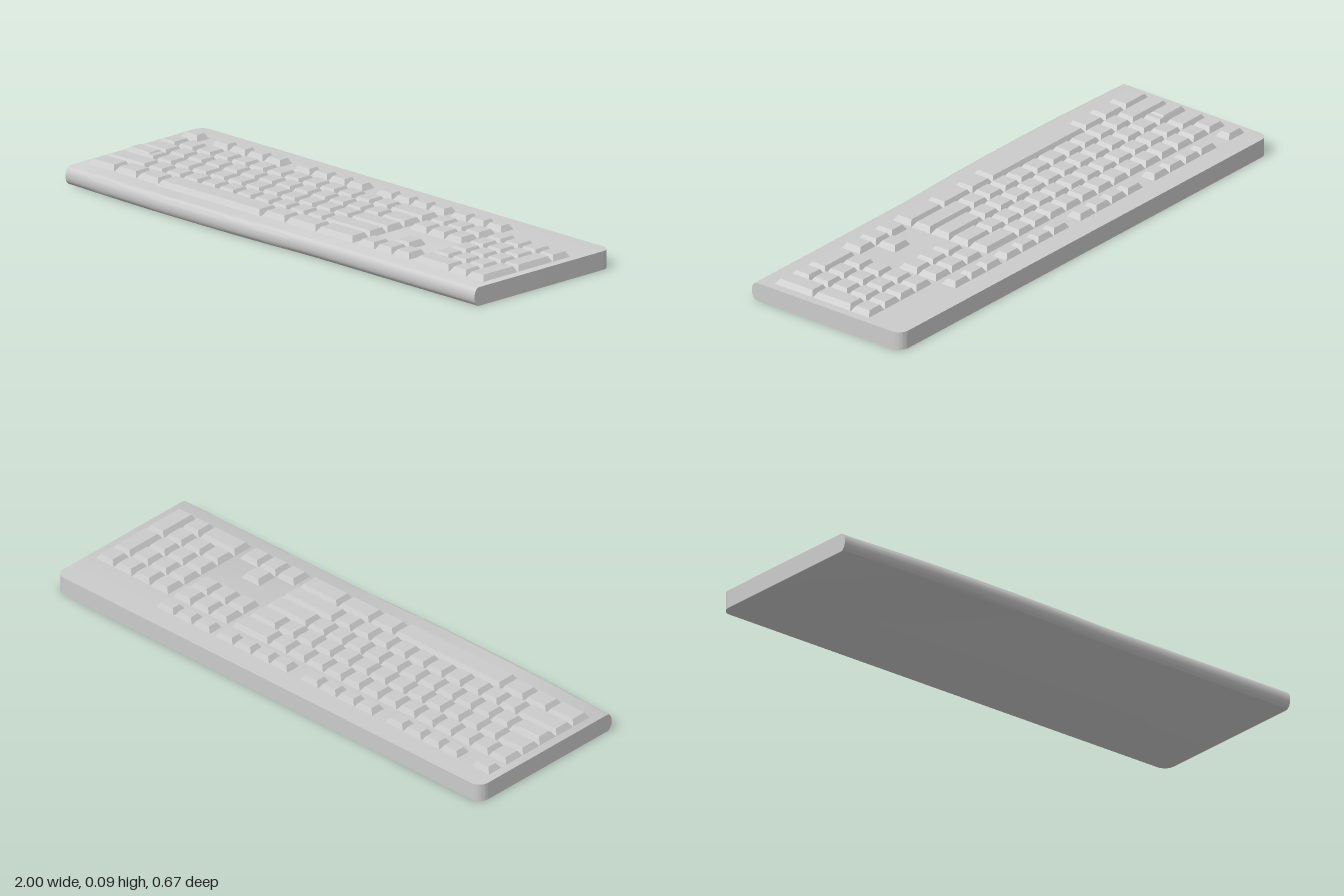
import * as THREE from 'three';
import { toCreasedNormals } from 'three/addons/utils/BufferGeometryUtils.js';

const H = 0.067;          // case height
const KEY_H = 0.02;       // key height
const BACK = -0.337;
const X0 = -0.968, X1 = 0.328;   // main block limits
const ROWS = [-0.171, -0.087, -0.003, 0.081, 0.165]; // back edge of each row
const PITCH = 0.084;
const U = (X1 - X0) / 15;

const material = new THREE.MeshStandardMaterial({ color: 0xcccccc });

// Front edge of the case: straight, with a gentle bow under the main block
function frontZ(x) {
  const t = Math.min(1, Math.abs(x + 0.4) / 0.62);
  return 0.301 + 0.014 * (1 - t * t * t) ** 2;
}

function makeCase() {
  const r = 0.04;
  const s = new THREE.Shape();
  s.moveTo(-1, -frontZ(-1));
  for (let i = 1; i <= 40; i++) {
    const x = -1 + i / 20;
    s.lineTo(x, -frontZ(x));
  }
  s.lineTo(1, -BACK - r);
  s.absarc(1 - r, -BACK - r, r, 0, Math.PI / 2, false);
  s.lineTo(-1 + r, -BACK);
  s.absarc(-1 + r, -BACK - r, r, Math.PI / 2, Math.PI, false);
  s.closePath();
  const g = new THREE.ExtrudeGeometry(s, { depth: 1, steps: 12, bevelEnabled: false, curveSegments: 8 });
  g.rotateX(-Math.PI / 2);
  // Swell the front wall into a bullnose
  const p = g.attributes.position;
  for (let i = 0; i < p.count; i++) {
    const a = Math.PI * p.getY(i);
    p.setY(i, H / 2 * (1 - Math.cos(a)));
    if (p.getZ(i) > 0.2) p.setZ(i, p.getZ(i) + 0.022 * Math.sin(a));
  }
  const mesh = new THREE.Mesh(toCreasedNormals(g, 0.6), material);
  mesh.name = 'case';
  return mesh;
}

// Tapered key cap covering the given rectangle
function makeKey(name, x0, x1, z0, z1, y = H, h = KEY_H, inset = 0.013) {
  const gap = 0.0015;
  const w = x1 - x0 - 2 * gap, d = z1 - z0 - 2 * gap;
  const g = new THREE.BoxGeometry(w, h, d).toNonIndexed();
  const p = g.attributes.position;
  for (let i = 0; i < p.count; i++) {
    if (p.getY(i) < 0) continue;
    p.setX(i, p.getX(i) - Math.sign(p.getX(i)) * inset);
    p.setZ(i, p.getZ(i) - (p.getZ(i) > 0 ? inset : -inset * 0.75));
  }
  g.computeVertexNormals();
  const mesh = new THREE.Mesh(g, material);
  mesh.name = name;
  mesh.position.set((x0 + x1) / 2, y + h / 2, (z0 + z1) / 2);
  return mesh;
}

function keyRow(group, name, x, z, widths, unit) {
  for (const w of widths) {
    group.add(makeKey(name, x, x + w * unit, z, z + PITCH));
    x += w * unit;
  }
}

const ones = n => Array(n).fill(1);

function namedGroup(name) {
  const g = new THREE.Group();
  g.name = name;
  return g;
}

export function createModel() {
  const model = namedGroup('keyboard');
  model.add(makeCase());

  // Top row: a single key, three banks of four and a bank of three
  const top = namedGroup('topRowKeys');
  const u = 0.0856;
  for (const [x, n] of [[X0, 1], [-0.818, 4], [-0.417, 4], [-0.016, 4], [0.348, 3]]) {
    for (let i = 0; i < n; i++) top.add(makeKey('topRowKey', x + i * u, x + (i + 1) * u, -0.257, -0.195));
  }
  model.add(top);

  // Main block
  const main = namedGroup('mainKeys');
  keyRow(main, 'numberKey', X0, ROWS[0], [...ones(13), 2], U);
  keyRow(main, 'letterKey', X0, ROWS[1], [1.5, ...ones(12), 1.5], U);
  keyRow(main, 'letterKey', X0, ROWS[2], [1.75, ...ones(11), 2.25], U);
  keyRow(main, 'letterKey', X0, ROWS[3], [2.25, ...ones(10), 2.75], U);
  keyRow(main, 'modifierKey', X0, ROWS[4], [1.5, 1.25, 1.25], U);
  const s0 = X0 + 4 * U, s1 = s0 + 5.85 * U;
  main.add(makeKey('spaceBar', s0, s1, ROWS[4], ROWS[4] + PITCH + 0.009));
  keyRow(main, 'modifierKey', s1, ROWS[4], [1.3, 1.75, 2.1], U);
  // Raised step on the lock key
  main.add(makeKey('lockKeyStep', X0 + 0.012, X0 + 0.118, 0.007, 0.066, H + KEY_H, 0.005, 0.004));
  model.add(main);

  // Navigation block and arrows
  const nav = namedGroup('navigationKeys');
  const n0 = 0.348;
  keyRow(nav, 'navigationKey', n0, ROWS[0], ones(3), u);
  keyRow(nav, 'navigationKey', n0, ROWS[1], ones(3), u);
  keyRow(nav, 'arrowKey', n0 + u, ROWS[3], [1], u);
  keyRow(nav, 'arrowKey', n0, ROWS[4], ones(3), u);
  model.add(nav);

  // Number pad with two double-height keys
  const pad = namedGroup('numberPad');
  const p0 = 0.626;
  keyRow(pad, 'padKey', p0, ROWS[0], ones(4), u);
  for (const r of [1, 2, 3]) keyRow(pad, 'padKey', p0, ROWS[r], ones(3), u);
  keyRow(pad, 'padKey', p0, ROWS[4], [2, 1], u);
  for (const r of [1, 3]) pad.add(makeKey('tallPadKey', p0 + 3 * u, p0 + 4 * u, ROWS[r], ROWS[r] + 2 * PITCH));
  model.add(pad);

  return model;
}
